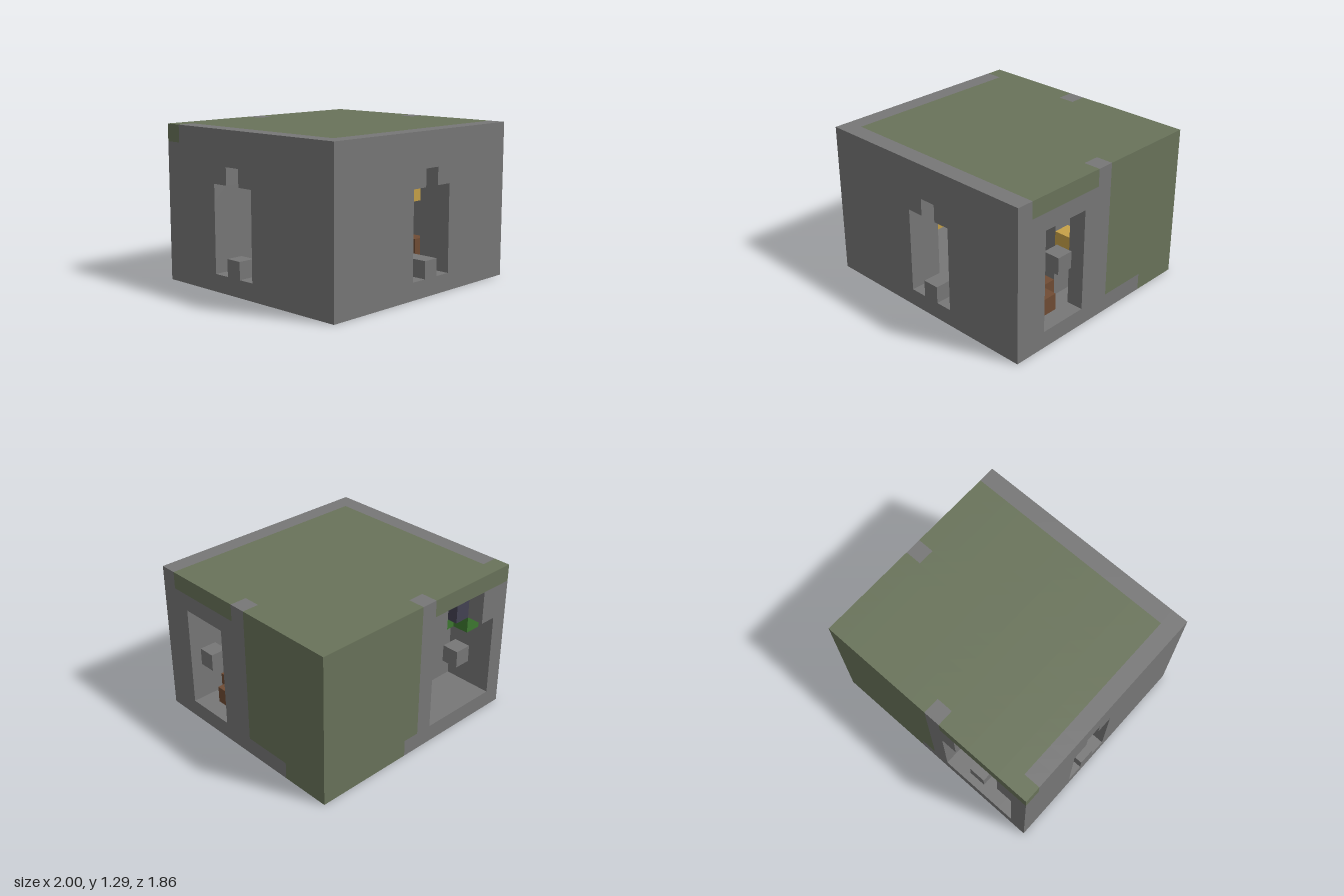
import * as THREE from 'three';
import { mergeGeometries } from 'three/addons/utils/BufferGeometryUtils.js';

// Block building: 14 x 9 x 13 cells, each 1/7 unit
const NX = 14, NY = 9, NZ = 13, S = 1 / 7;
const mat = (name, color) => new THREE.MeshStandardMaterial({ name, color });
const within = (v, a, b) => v >= a && v <= b;

// Blocks placed inside the rooms: [i, j, k]
const furnishings = {
  woodBlocks: [[12, 1, 9], [11, 1, 8], [11, 1, 10], [6, 3, 7], [7, 3, 7], [8, 3, 7], [7, 4, 7], [8, 4, 7]],
  yellowBlocks: [[5, 4, 10], [5, 4, 8], [12, 4, 7]],
  leafBlocks: [[1, 5, 1], [2, 5, 2], [2, 6, 10]],
  darkPillars: [[4, 6, 1], [4, 7, 1], [2, 6, 1], [2, 7, 1], [1, 6, 9]],
};
const placed = new Map();
for (const [part, cells] of Object.entries(furnishings))
  for (const c of cells) placed.set(c.join(), part);

// Underside moss, counted from the +x side: [column, row]
const mossUnder = new Set(['2,2', '3,2', '3,3', '3,4', '1,5', '2,5', '5,3', '5,4', '6,2', '6,3', '6,5', '4,2']);

// Narrow doorway three cells wide with a taller middle and a step block
const doorway = (c, j) => within(c, -1, 1) && within(j, 1, c === 0 ? 6 : 5) && !(c === 0 && j === 1);

function isCarved(i, j, k) {
  // front and right-hand narrow doorways
  if (k >= 11 && doorway(i - 7, j) && !(i === 7 && j === 1)) return true;
  if (i === 0 && doorway(k - 5, j)) return true;
  // window in the +x wall, with a block in its middle
  if (i === 13) return within(k, 8, 10) && within(j, 1, 6) && !(k === 9 && j === 4);
  // back alcove, with a block in its middle
  if (k <= 2) return within(i, 1, 5) && within(j, 1, within(i, 2, 4) ? 7 : 5) && !(i === 3 && j === 4 && k === 0);
  if (k === 3) return i === 3 && within(j, 1, 5);
  // main room around a central mass
  if (within(i, 1, 12) && within(j, 1, 6) && within(k, 4, 10))
    return !(within(i, 5, 11) && k <= 7);
  return false;
}

function isMoss(i, j, k) {
  if (j === 8) {
    if ((i === 6 && k === 0) || (i === 13 && k === 6)) return false;
    return k === 0 || (i >= 1 && k <= 11);
  }
  if (j === 0) {
    return (i === 13 && k <= 2) || (k === 0 && i >= 8) || mossUnder.has(`${13 - i},${k}`);
  }
  return (i === 13 && k <= 5) || (k === 0 && i >= 7);
}

// Part name of a cell, or null when empty
function cell(i, j, k) {
  if (!within(i, 0, NX - 1) || !within(j, 0, NY - 1) || !within(k, 0, NZ - 1)) return null;
  const p = placed.get([i, j, k].join());
  if (p) return p;
  if (isCarved(i, j, k)) return null;
  return isMoss(i, j, k) ? 'mossBlocks' : 'stoneBlocks';
}

// One square per direction, facing outward
const sides = [
  [1, 0, 0], [-1, 0, 0], [0, 1, 0], [0, -1, 0], [0, 0, 1], [0, 0, -1],
].map((d) => {
  const g = new THREE.PlaneGeometry(S, S);
  const n = new THREE.Vector3(...d);
  g.applyQuaternion(new THREE.Quaternion().setFromUnitVectors(new THREE.Vector3(0, 0, 1), n));
  g.translate(n.x * S / 2, n.y * S / 2, n.z * S / 2);
  return { d, g };
});

export function createModel() {
  const model = new THREE.Group();
  model.name = 'mossyBlockBuilding';
  const materials = {
    stoneBlocks: mat('stone', 0x777777),
    mossBlocks: mat('moss', 0x69735a),
    woodBlocks: mat('wood', 0x704c34),
    yellowBlocks: mat('yellow', 0xc6a148),
    leafBlocks: mat('leaf', 0x3d7830),
    darkPillars: mat('dark slate', 0x444253),
  };
  const faces = Object.fromEntries(Object.keys(materials).map((n) => [n, []]));

  // Keep only the block sides that touch open space
  for (let i = 0; i < NX; i++)
    for (let j = 0; j < NY; j++)
      for (let k = 0; k < NZ; k++) {
        const part = cell(i, j, k);
        if (!part) continue;
        for (const { d, g } of sides) {
          if (cell(i + d[0], j + d[1], k + d[2])) continue;
          faces[part].push(g.clone().translate((i + 0.5 - NX / 2) * S, (j + 0.5) * S, (k + 0.5 - NZ / 2) * S));
        }
      }

  for (const [name, list] of Object.entries(faces)) {
    if (!list.length) continue;
    const mesh = new THREE.Mesh(mergeGeometries(list), materials[name]);
    mesh.name = name;
    model.add(mesh);
  }
  return model;
}
